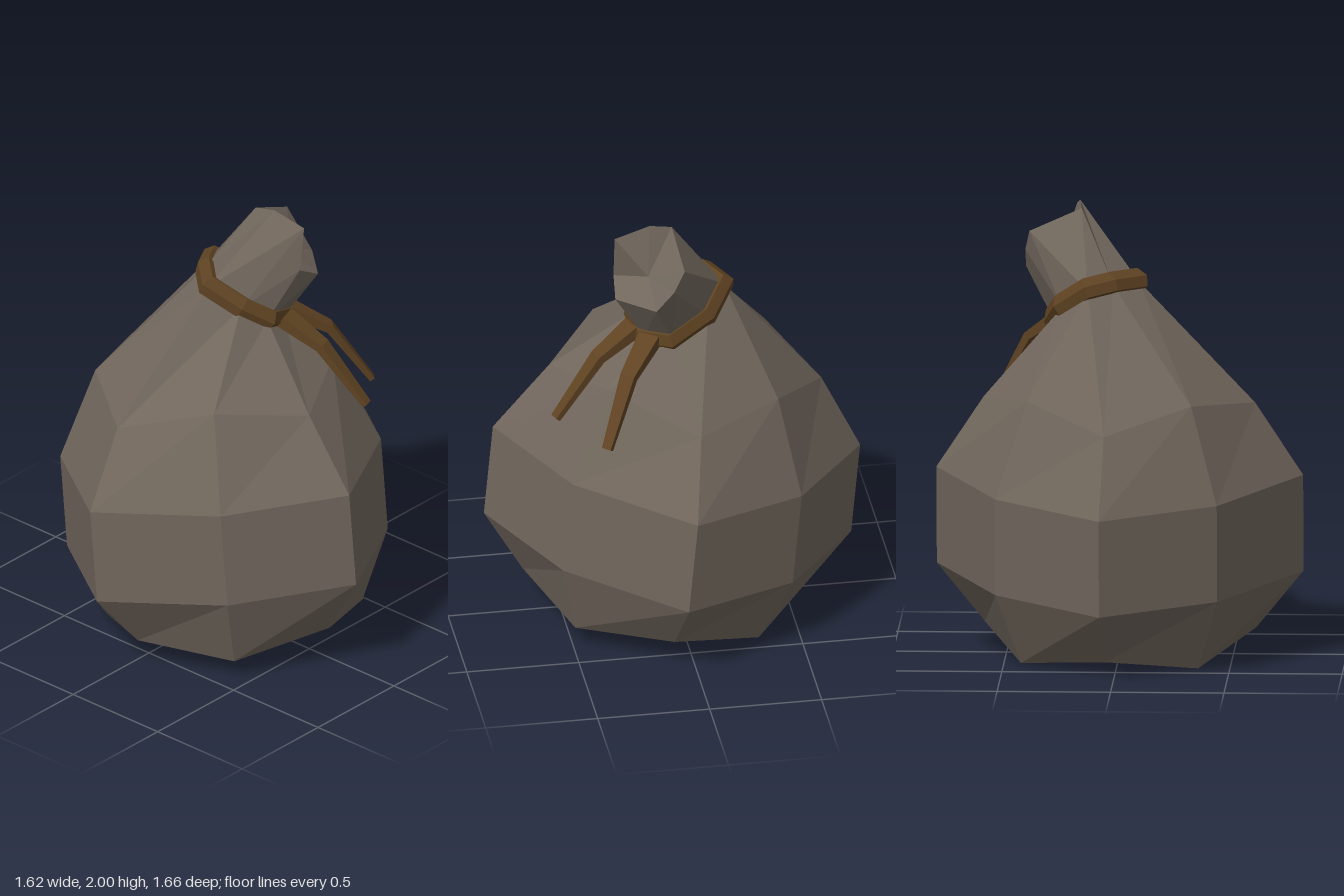
import * as THREE from 'three';

const cloth = new THREE.MeshStandardMaterial({ color: 0x70665c, flatShading: true, side: THREE.DoubleSide });
const rope = new THREE.MeshStandardMaterial({ color: 0x5f4322, flatShading: true, side: THREE.DoubleSide });
const V = (x, y, z) => new THREE.Vector3(x, y, z);

// Skins a list of rings (bottom to top), with optional centre points closing the ends
function loft(name, material, rings, startCentre, endCentre) {
  const pos = [];
  const tri = (...pts) => pts.forEach((p) => pos.push(p.x, p.y, p.z));
  const n = rings[0].length;
  for (let i = 0; i < n; i++) {
    const j = (i + 1) % n;
    for (let k = 0; k + 1 < rings.length; k++) {
      const a = rings[k], b = rings[k + 1];
      tri(a[i], a[j], b[j]);
      tri(a[i], b[j], b[i]);
    }
    const first = rings[0], last = rings[rings.length - 1];
    if (startCentre) tri(startCentre, first[j], first[i]);
    if (endCentre) tri(endCentre, last[i], last[j]);
  }
  const geo = new THREE.BufferGeometry();
  geo.setAttribute('position', new THREE.Float32BufferAttribute(pos, 3));
  geo.computeVertexNormals();
  const mesh = new THREE.Mesh(geo, material);
  mesh.name = name;
  return mesh;
}

// Plan of the belly: corners (even) and side middles (odd), from the -x corner through the front
const bellyPlan = [[-0.81, -0.05], [-0.53, 0.47], [-0.06, 0.81], [0.45, 0.54],
  [0.81, 0.04], [0.53, -0.47], [0.06, -0.81], [-0.45, -0.55]];
// Plan of the neck, around its own centre
const neckPlan = [[-0.22, -0.03], [-0.14, 0.13], [-0.03, 0.22], [0.13, 0.19],
  [0.23, 0.05], [0.18, -0.14], [0.04, -0.25], [-0.09, -0.17]];

// Belly ring, leaning down toward the back; the middles have their own height
function bellyRing(scale, shiftZ, cornerY, middleY, cornerScale = scale) {
  return bellyPlan.map(([x, z], i) => {
    const s = i % 2 ? scale : cornerScale;
    const pz = z * s + shiftZ;
    return V(x * s, (i % 2 ? middleY : cornerY) + 0.11 * pz, pz);
  });
}

// Neck ring on a plane leaning to the front and +x, lifted along the plane's normal
function neckRing(scale, lift) {
  return neckPlan.map(([x, z]) => V(
    0.1 + x * scale + 0.36 * lift,
    1.575 - 0.42 * (x + z) * scale + 0.86 * lift,
    z * scale + 0.36 * lift));
}

// Tapering flat strand along a path
function strand(name, points, widths) {
  const side = points[2].clone().sub(points[0]).cross(V(0, 1, 0)).normalize();
  const rings = points.map((p, k) => {
    const t = points[Math.min(k + 1, 2)].clone().sub(points[Math.max(k - 1, 0)]).normalize();
    const up = t.clone().cross(side).normalize();
    const w = widths[k] / 2, h = widths[k] * 0.27;
    return [[w, h], [-w, h], [-w, -h], [w, -h]].map(([a, b]) =>
      p.clone().addScaledVector(side, a).addScaledVector(up, b));
  });
  return loft(name, rope, rings, points[0], points[2]);
}

export function createModel() {
  const group = new THREE.Group();
  group.name = 'tiedSack';

  // Sack body, from the base up to the tied neck
  group.add(loft('sackBody', cloth, [
    bellyRing(0.8, 0.06, 0.11, 0.04, 0.74),
    bellyRing(1, 0.02, 0.38, 0.38),
    bellyRing(1, -0.02, 0.82, 0.82),
    bellyRing(0.74, -0.06, 1.15, 1.235),
    neckRing(0.84, 0),
  ], V(0, 0.04, 0.06)));

  // Gathered mouth, flopping over to the front with a folded-in centre
  const mouth = [V(0.18, 2, 0.13), V(0.2, 1.96, 0.29), V(0.17, 1.76, 0.29), V(0.28, 1.7, 0.3),
    V(0.42, 1.7, 0.14), V(0.42, 1.79, 0.06), V(0.4, 1.88, 0.01), V(0.17, 1.98, 0.03)];
  group.add(loft('sackMouth', cloth, [neckRing(0.84, 0), mouth], null, V(0.26, 1.79, 0.15)));

  // Rope band around the neck
  group.add(loft('ropeBand', rope, [
    neckRing(0.78, -0.04), neckRing(0.96, -0.035), neckRing(1.02, 0.012),
    neckRing(0.9, 0.06), neckRing(0.74, 0.055),
  ]));

  // Loose rope ends
  group.add(strand('frontRopeEnd', [V(0.17, 1.49, 0.2), V(0.23, 1.385, 0.37), V(0.3, 1.135, 0.57)], [0.1, 0.07, 0.045]));
  group.add(strand('leftRopeEnd', [V(0.26, 1.48, 0.14), V(0.4, 1.37, 0.26), V(0.545, 1.095, 0.38)], [0.1, 0.07, 0.045]));
  return group;
}
